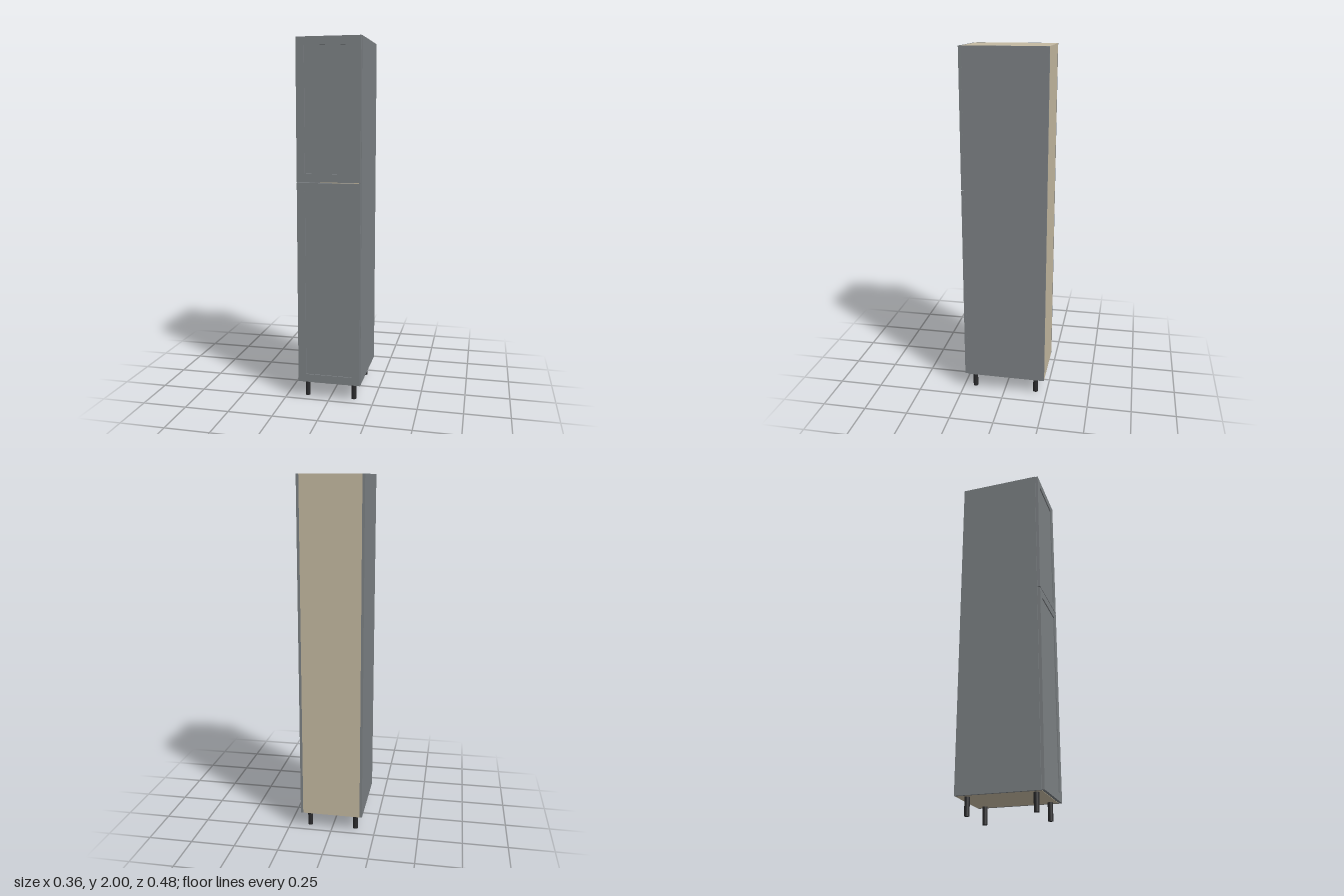
import * as THREE from 'three';

const grey = new THREE.MeshStandardMaterial({ color: 0x7c8184 });
const beige = new THREE.MeshStandardMaterial({ color: 0xc4b9a1 });
const black = new THREE.MeshStandardMaterial({ color: 0x2a2a2c });

// Box given by its min and max corners
function panel(name, material, [x0, y0, z0], [x1, y1, z1]) {
  const mesh = new THREE.Mesh(new THREE.BoxGeometry(x1 - x0, y1 - y0, z1 - z0), material);
  mesh.position.set((x0 + x1) / 2, (y0 + y1) / 2, (z0 + z1) / 2);
  mesh.name = name;
  return mesh;
}

// Framed door with a shallow recessed centre panel
function door(name, y0, y1) {
  const group = new THREE.Group();
  group.name = name;
  const w = 0.176, rail = 0.045, z0 = 0.221, z1 = 0.237;
  const rect = (target, x, a, b) => target.moveTo(-x, a).lineTo(x, a).lineTo(x, b).lineTo(-x, b).closePath();
  const shape = new THREE.Shape();
  rect(shape, w, y0, y1);
  const hole = new THREE.Path();
  rect(hole, w - rail, y0 + rail, y1 - rail);
  shape.holes.push(hole);
  const frame = new THREE.Mesh(new THREE.ExtrudeGeometry(shape, { depth: z1 - z0, bevelEnabled: false }), grey);
  frame.position.z = z0;
  frame.name = name + 'Frame';
  group.add(frame, panel(name + 'Panel', grey,
    [-w + rail, y0 + rail, z0], [w - rail, y1 - rail, z1 - 0.006]));
  return group;
}

export function createModel() {
  const model = new THREE.Group();
  model.name = 'tallCabinet';
  const base = 0.097, top = 2, back = -0.238, front = 0.22;
  const outer = 0.179, inner = 0.165, t = 0.015;

  // Carcass
  model.add(
    panel('leftSide', grey, [inner, base, back], [outer, top, front]),
    panel('rightSide', grey, [-outer, base, back], [-inner, top, front]),
    panel('topPanel', beige, [-inner, top - t, back], [inner, top, front]),
    panel('bottomPanel', beige, [-inner, base, back], [inner, base + t, front]),
    panel('backPanel', beige, [-inner, base + t, back], [inner, top - t, back + 0.006])
  );

  // Doors
  model.add(door('lowerDoor', base + 0.001, 1.229), door('upperDoor', 1.234, top - 0.001));

  // Round legs
  const legGeometry = new THREE.CylinderGeometry(0.014, 0.014, base, 24);
  for (const x of [-0.134, 0.134]) {
    for (const z of [-0.183, 0.183]) {
      const leg = new THREE.Mesh(legGeometry, black);
      leg.name = (z > 0 ? 'front' : 'back') + (x > 0 ? 'Left' : 'Right') + 'Leg';
      leg.position.set(x, base / 2, z);
      model.add(leg);
    }
  }
  return model;
}
